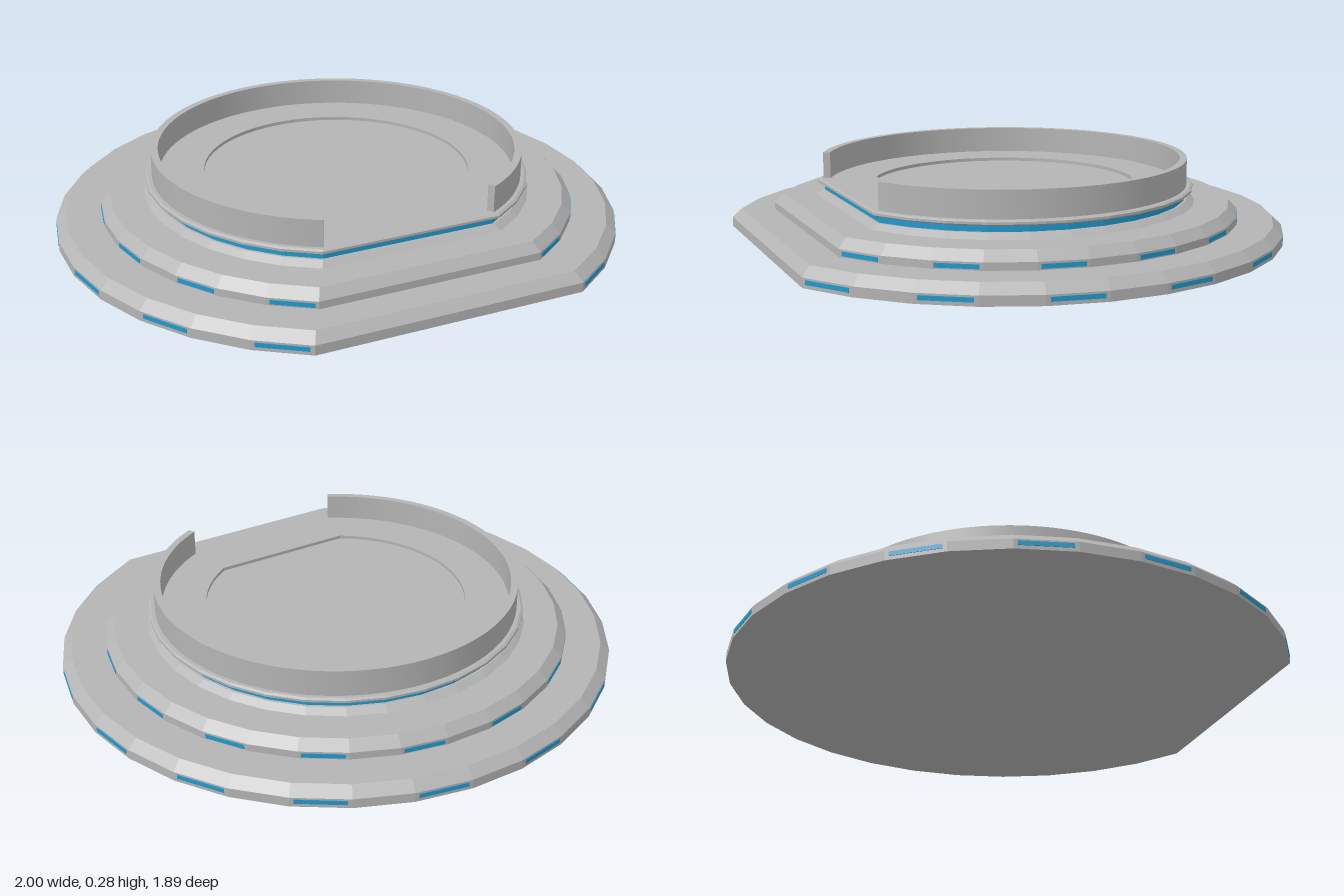
import * as THREE from 'three';
import { toCreasedNormals } from 'three/addons/utils/BufferGeometryUtils.js';

const STEP = Math.PI / 16;   // one facet of the 32-sided outline
const CUT = 2.5 * STEP;      // half angle of the flat front edge
const FACETS = 27;           // facets left around the arc
const ZC = 0.057;            // centre of the round outline
const R = 1 / Math.cos(STEP / 2);

// Point on the outline at a given scale, height and angle from the front
function outlinePoint(scale, y, angle) {
  return [scale * R * Math.sin(angle), y, ZC + scale * R * Math.cos(angle)];
}

// Stack cross-sections [scale, y, cut angle] of the flat-fronted outline
function loft(profile, segments = FACETS) {
  const rings = profile.map(([s, y, cut = CUT]) => {
    const ring = [];
    for (let i = 0; i <= segments; i++) {
      ring.push(outlinePoint(s, y, cut + (2 * Math.PI - 2 * cut) * i / segments));
    }
    return ring;
  });
  const pos = [];
  for (let j = 0; j + 1 < rings.length; j++) {
    const a = rings[j], b = rings[j + 1];
    for (let i = 0; i <= segments; i++) {
      const k = (i + 1) % (segments + 1);
      if (profile[j][0] > 0) pos.push(...a[i], ...a[k], ...b[k]);
      if (profile[j + 1][0] > 0) {
        if (profile[j][0] > 0) pos.push(...a[i], ...b[k], ...b[i]);
        else pos.push(...a[i], ...b[k], ...b[i]);
      } else if (profile[j][0] === 0) continue;
    }
  }
  const geo = new THREE.BufferGeometry();
  geo.setAttribute('position', new THREE.Float32BufferAttribute(pos, 3));
  geo.computeVertexNormals();
  return geo;
}

export function createModel() {
  const grey = new THREE.MeshStandardMaterial({ color: 0xb4b4b4 });
  grey.name = 'greyMetal';
  const blue = new THREE.MeshStandardMaterial({ color: 0x2299cc });
  blue.name = 'blueLight';

  const group = new THREE.Group();
  group.name = 'steppedPlatform';
  const add = (name, geo, mat, parent = group) => {
    const mesh = new THREE.Mesh(geo, mat);
    mesh.name = name;
    parent.add(mesh);
    return mesh;
  };

  // Two bevelled steps and the sloped collar above them
  add('lowerStep', loft([[0, 0], [1, 0], [1, 0.034], [0.966, 0.066], [0.6, 0.066]]), grey);
  add('upperStep', loft([[0.84, 0.066], [0.84, 0.092], [0.808, 0.125], [0.6, 0.125]]), grey);
  add('collar', loft([[0.687, 0.125], [0.662, 0.143], [0.6, 0.143]]), grey);

  // Glowing groove under the rim
  add('lightBand', loft([[0.653, 0.143], [0.653, 0.168]]), blue);
  add('rim', loft([[0.6, 0.167], [0.672, 0.167], [0.68, 0.172], [0.68, 0.18],
    [0.672, 0.185], [0.6, 0.185]]), grey);

  // Floor with a shallow sunken centre
  const inset = 33 * Math.PI / 180;
  add('floor', loft([[0.615, 0.185], [0.472, 0.185, inset], [0.472, 0.173, inset],
    [0, 0.173, inset]], FACETS * 2), grey);

  // Curved parapet, open along the front
  const from = CUT - Math.PI / 2, to = 1.5 * Math.PI - CUT;
  const arc = new THREE.Shape();
  arc.absarc(0, 0, 0.66, from, to, false);
  arc.absarc(0, 0, 0.634, to, from, true);
  arc.closePath();
  const wall = new THREE.ExtrudeGeometry(arc, { depth: 0.1, bevelEnabled: false, curveSegments: 54 });
  wall.rotateX(-Math.PI / 2);
  wall.translate(0, 0.18, ZC);
  add('parapet', toCreasedNormals(wall, 0.5), grey);

  // Lights on every other facet of both steps
  const lights = new THREE.Group();
  lights.name = 'stepLights';
  group.add(lights);
  for (const [scale, y] of [[1, 0.02], [0.84, 0.078]]) {
    const length = 2 * scale * Math.tan(STEP / 2) * 0.86;
    for (let i = 0; i < FACETS; i += 2) {
      const angle = CUT + (i + 0.5) * STEP;
      const light = add('stepLight', new THREE.BoxGeometry(length, 0.015, 0.004), blue, lights);
      light.position.set(scale * Math.sin(angle), y, ZC + scale * Math.cos(angle));
      light.rotation.y = angle;
    }
  }
  return group;
}
